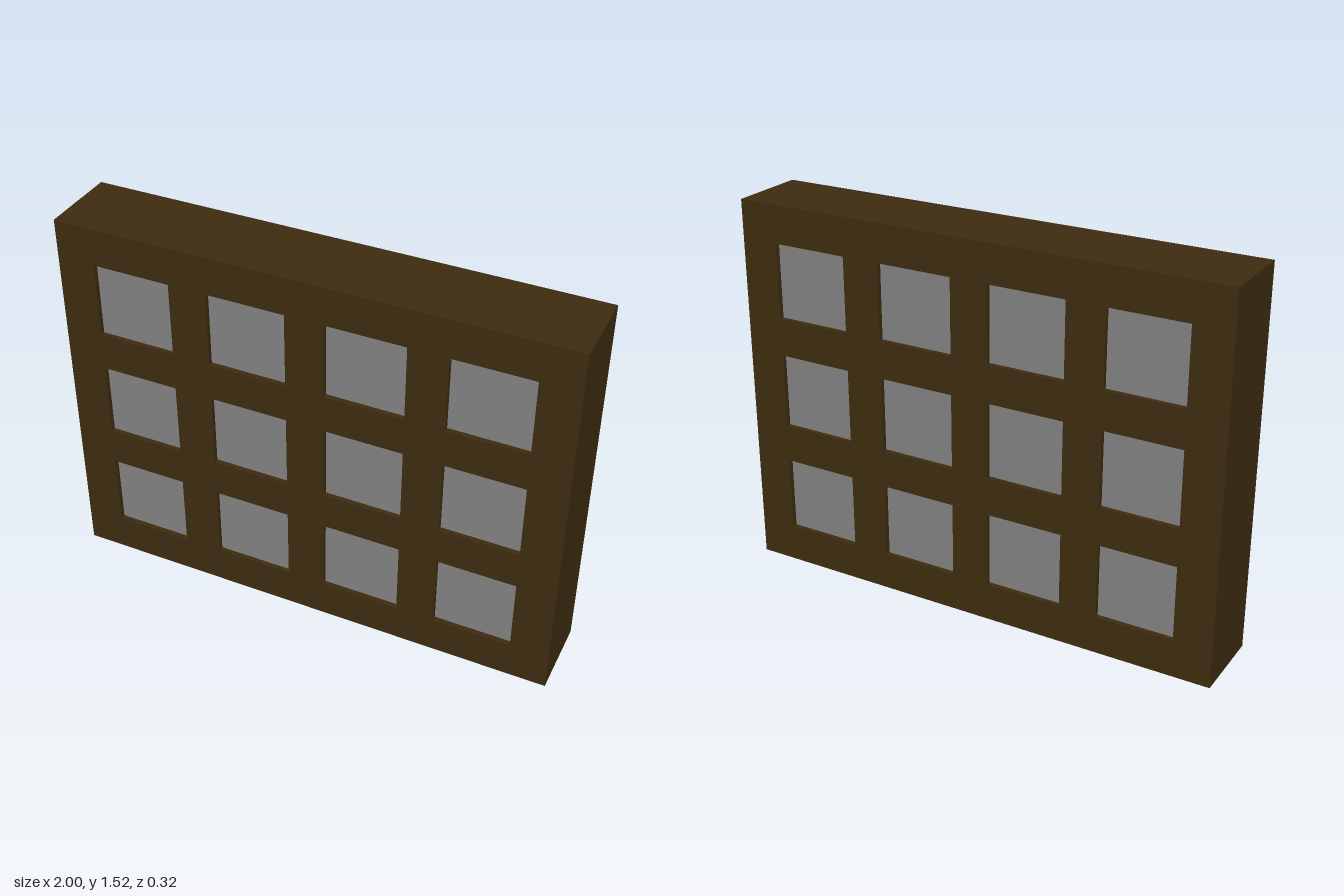
import * as THREE from 'three';

const W = 2, H = 1.516, D = 0.318;   // overall size
const COLS = 4, ROWS = 3;
const BAR = 0.152;                   // width of rim and glazing bars
const RECESS = 0.02;                 // panes sit back from both faces
const PANE_W = (W - BAR * (COLS + 1)) / COLS;
const PANE_H = (H - BAR * (ROWS + 1)) / ROWS;

export function createModel() {
  const group = new THREE.Group();
  group.name = 'latticeWindow';
  const wood = new THREE.MeshStandardMaterial({ color: 0x3d2b0f });
  const glass = new THREE.MeshStandardMaterial({ color: 0x808080 });

  // Frame outline, pierced by one hole per pane
  const outline = new THREE.Shape();
  outline.moveTo(-W / 2, 0).lineTo(W / 2, 0).lineTo(W / 2, H).lineTo(-W / 2, H).closePath();

  const panes = new THREE.Group();
  panes.name = 'panes';
  const paneGeometry = new THREE.BoxGeometry(PANE_W, PANE_H, D - 2 * RECESS);

  for (let row = 0; row < ROWS; row++) {
    for (let col = 0; col < COLS; col++) {
      const x = -W / 2 + BAR + col * (PANE_W + BAR);
      const y = BAR + row * (PANE_H + BAR);

      const hole = new THREE.Path();
      hole.moveTo(x, y).lineTo(x, y + PANE_H).lineTo(x + PANE_W, y + PANE_H).lineTo(x + PANE_W, y).closePath();
      outline.holes.push(hole);

      const pane = new THREE.Mesh(paneGeometry, glass);
      pane.name = `pane_${row + 1}_${col + 1}`;
      pane.position.set(x + PANE_W / 2, y + PANE_H / 2, 0);
      panes.add(pane);
    }
  }

  const frameGeometry = new THREE.ExtrudeGeometry(outline, { depth: D, bevelEnabled: false });
  frameGeometry.translate(0, 0, -D / 2);
  const frame = new THREE.Mesh(frameGeometry, wood);
  frame.name = 'frame';

  group.add(frame, panes);
  return group;
}
